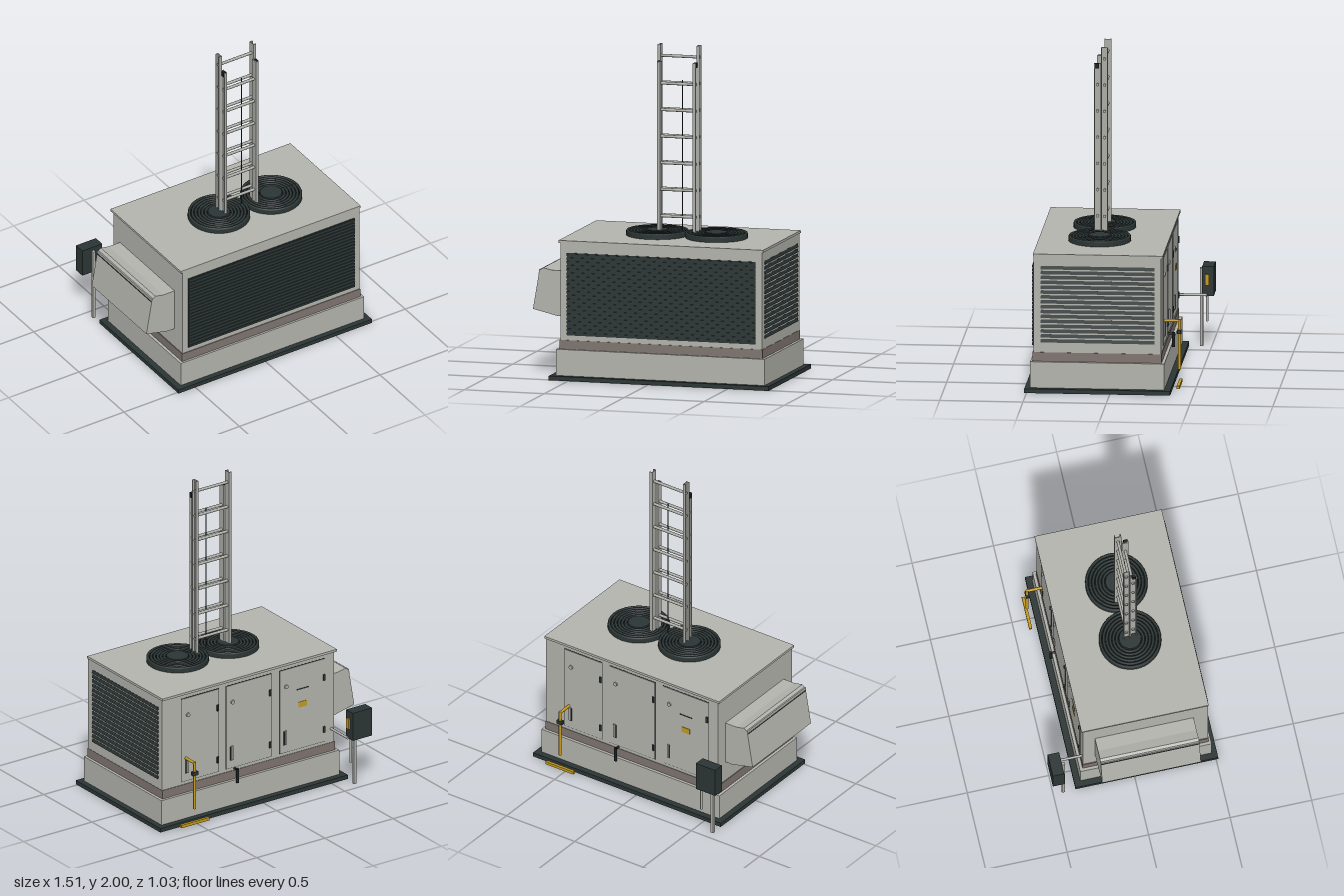
import * as THREE from 'three';

const material = (name, color) => {
  const m = new THREE.MeshStandardMaterial({ color });
  m.name = name;
  return m;
};

export function createModel() {
  const model = new THREE.Group();
  model.name = 'rooftopUnit';
  const grey = material('panelGrey', 0xb4b4ae);
  const aluminium = material('aluminium', 0xacaca7);
  const brown = material('bandBrown', 0x7f7570);
  const dark = material('slateDark', 0x2c3535);
  const black = material('black', 0x191e1e);
  const yellow = material('safetyYellow', 0xc49a1e);

  const group = (name, parent = model) => {
    const g = new THREE.Group();
    g.name = name;
    parent.add(g);
    return g;
  };
  const add = (name, geometry, mat, parent = model) => {
    const m = new THREE.Mesh(geometry, mat);
    m.name = name;
    parent.add(m);
    return m;
  };
  // Box given by its limits on each axis
  const box = (name, mat, x0, x1, y0, y1, z0, z1, parent) => {
    const m = add(name, new THREE.BoxGeometry(x1 - x0, y1 - y0, z1 - z0), mat, parent);
    m.position.set((x0 + x1) / 2, (y0 + y1) / 2, (z0 + z1) / 2);
    return m;
  };
  // Round bar between two points
  const bar = (name, mat, a, b, r, parent) => {
    const p = new THREE.Vector3(...a), q = new THREE.Vector3(...b);
    const m = add(name, new THREE.CylinderGeometry(r, r, p.distanceTo(q), 14), mat, parent);
    m.position.copy(p).lerp(q, 0.5);
    m.quaternion.setFromUnitVectors(new THREE.Vector3(0, 1, 0), q.sub(p).normalize());
    return m;
  };

  // Pad, curb and cabinet
  box('basePad', dark, -0.62, 0.755, 0, 0.026, -0.363, 0.513);
  box('curb', grey, -0.583, 0.72, 0.026, 0.185, -0.325, 0.48);
  box('curbBand', brown, -0.565, 0.702, 0.185, 0.24, -0.307, 0.467);
  box('cabinet', grey, -0.56, 0.7, 0.24, 0.829, -0.304, 0.463);
  box('lid', grey, -0.573, 0.706, 0.828, 0.843, -0.315, 0.465);

  // Front coil guard with fine slats
  const coil = group('frontGrille');
  box('grillePlate', dark, -0.52, 0.66, 0.27, 0.77, 0.46, 0.468, coil);
  for (let i = 0; i < 22; i++) {
    const y = 0.2815 + i * 0.0227;
    box('frontSlat', dark, -0.52, 0.66, y - 0.007, y + 0.007, 0.466, 0.473, coil);
  }

  // Side louvres, tilted outward at the bottom
  const louvres = group('sideLouvres');
  for (let i = 0; i < 16; i++) {
    const y = 0.311 + i * 0.0299;
    const blade = box('louvreBlade', dark, 0.7, 0.704, y - 0.0105, y + 0.0105, -0.265, 0.418, louvres);
    blade.rotation.z = 0.22;
  }

  // Access doors on the back
  const doors = group('accessDoors');
  for (const [x0, x1] of [[0.29, 0.56], [-0.095, 0.233], [-0.49, -0.16]]) {
    box('door', grey, x0, x1, 0.262, 0.8, -0.308, -0.303, doors);
    // dark seam around the door
    const s = 0.004;
    box('doorSeam', dark, x0 - s, x1 + s, 0.262 - s, 0.8 + s, -0.305, -0.3035, doors);
    bar('doorLock', aluminium, [x1 - 0.045, 0.69, -0.306], [x1 - 0.045, 0.69, -0.316], 0.013, doors);
    box('doorHandlePlate', dark, x1 - 0.05, x1 - 0.028, 0.31, 0.4, -0.311, -0.307, doors);
    box('doorHandle', aluminium, x1 - 0.046, x1 - 0.034, 0.315, 0.405, -0.317, -0.31, doors);
    for (const y of [0.34, 0.68]) {
      box('doorHinge', dark, x0 + 0.002, x0 + 0.014, y - 0.02, y + 0.02, -0.315, -0.307, doors);
    }
  }
  box('warningLabel', yellow, -0.355, -0.295, 0.53, 0.565, -0.311, -0.307, doors);
  box('namePlate', dark, -0.37, -0.28, 0.645, 0.652, -0.31, -0.307, doors);

  // Twin fan guards
  for (const x of [-0.066, 0.304]) {
    const fan = group('fan');
    fan.position.set(x, 0, 0.097);
    const base = add('fanBase', new THREE.CylinderGeometry(0.183, 0.183, 0.022, 48), black, fan);
    base.position.y = 0.854;
    const hub = add('fanHub', new THREE.CylinderGeometry(0.066, 0.07, 0.02, 32), dark, fan);
    hub.position.y = 0.87;
    for (let i = 0; i < 6; i++) {
      const ring = add('guardRing', new THREE.TorusGeometry(0.08 + i * 0.0197, 0.0085, 8, 48), dark, fan);
      ring.rotation.x = Math.PI / 2;
      ring.position.y = 0.8705;
    }
    const rim = add('fanRim', new THREE.CylinderGeometry(0.187, 0.187, 0.026, 48, 1, true), dark, fan);
    rim.position.y = 0.858;
    for (let i = 0; i < 8; i++) {
      const a = i * Math.PI / 4, c = Math.cos(a), s = Math.sin(a);
      bar('guardSpoke', dark, [0.06 * c, 0.872, 0.06 * s], [0.182 * c, 0.872, 0.182 * s], 0.004, fan);
    }
  }

  // Extension ladder: two sections with channel rails
  const ladder = group('ladder');
  ladder.position.x = 0.066;
  const section = (name, outer, z0, z1, top, rungTop, out) => {
    const g = group(name, ladder);
    const d = 0.019, t = 0.005;
    for (const side of [-1, 1]) {
      const rail = new THREE.Shape([
        [0, z0], [d, z0], [d, z0 + t], [t, z0 + t], [t, z1 - t], [d, z1 - t], [d, z1], [0, z1],
      ].map(([u, z]) => new THREE.Vector2(side * (out ? outer - d + u : outer - u), -z)));
      const geo = new THREE.ExtrudeGeometry(rail, { depth: top - 0.85, bevelEnabled: false });
      geo.rotateX(-Math.PI / 2);
      geo.translate(0, 0.85, 0);
      add('ladderRail', geo, aluminium, g);
    }
    const zm = (z0 + z1) / 2;
    for (let y = rungTop; y > 0.9; y -= 0.161) {
      bar('ladderRung', aluminium, [-outer + 0.004, y, zm], [outer - 0.004, y, zm], 0.009, g);
    }
  };
  section('rearLadderSection', 0.131, 0.057, 0.098, 2, 1.93, true);
  section('frontLadderSection', 0.121, 0.1, 0.141, 1.9, 1.769, true);
  for (const s of [-1, 1]) {
    box('railCap', black, s * 0.115 - 0.009, s * 0.115 + 0.009, 1.872, 1.902, 0.112, 0.136, ladder);
  }
  bar('ladderRope', dark, [0.026, 0.86, 0.1], [0.026, 1.79, 0.1], 0.003, ladder);

  // Intake hood on the right-hand end
  const hoodProfile = new THREE.Shape([
    [-0.555, 0.37], [-0.555, 0.645], [-0.64, 0.645], [-0.697, 0.657],
    [-0.72, 0.64], [-0.76, 0.405], [-0.61, 0.37],
  ].map(p => new THREE.Vector2(...p)));
  const hood = group('intakeHood');
  const hoodBody = add('hoodBody', new THREE.ExtrudeGeometry(hoodProfile, { depth: 0.605, bevelEnabled: false }), grey, hood);
  hoodBody.position.z = -0.23;
  box('hoodLip', grey, -0.722, -0.7, 0.565, 0.645, -0.23, 0.375, hood);
  const seam = box('hoodSeam', dark, -0.7255, -0.7215, 0.622, 0.627, -0.229, 0.374, hood);
  seam.rotation.z = -0.17;

  // Disconnect box on its post
  const power = group('electricalDisconnect');
  box('switchBox', dark, -0.688, -0.547, 0.323, 0.503, -0.517, -0.447, power);
  box('switchHandle', yellow, -0.548, -0.535, 0.39, 0.455, -0.488, -0.464, power);
  box('post', aluminium, -0.624, -0.606, 0, 0.48, -0.447, -0.428, power);
  bar('conduitToCabinet', aluminium, [-0.537, 0.33, -0.3], [-0.537, 0.33, -0.478], 0.008, power);
  bar('conduitDown', aluminium, [-0.56, 0.165, -0.477], [-0.56, 0.335, -0.477], 0.008, power);

  // Gas supply pipe with valve
  const gas = group('gasPipe');
  bar('gasInlet', yellow, [0.53, 0.41, -0.3], [0.53, 0.41, -0.4], 0.009, gas);
  bar('gasRiser', yellow, [0.53, 0.112, -0.4], [0.53, 0.418, -0.4], 0.009, gas);
  box('gasValve', dark, 0.51, 0.55, 0.332, 0.355, -0.412, -0.388, gas);
  box('gasFeed', yellow, 0.427, 0.632, 0.014, 0.032, -0.41, -0.392, gas);

  // Condensate drain
  bar('drainPipe', black, [0.17, 0.168, -0.335], [0.17, 0.258, -0.335], 0.009);
  bar('drainElbow', black, [0.17, 0.25, -0.3], [0.17, 0.25, -0.337], 0.007);

  return model;
}
